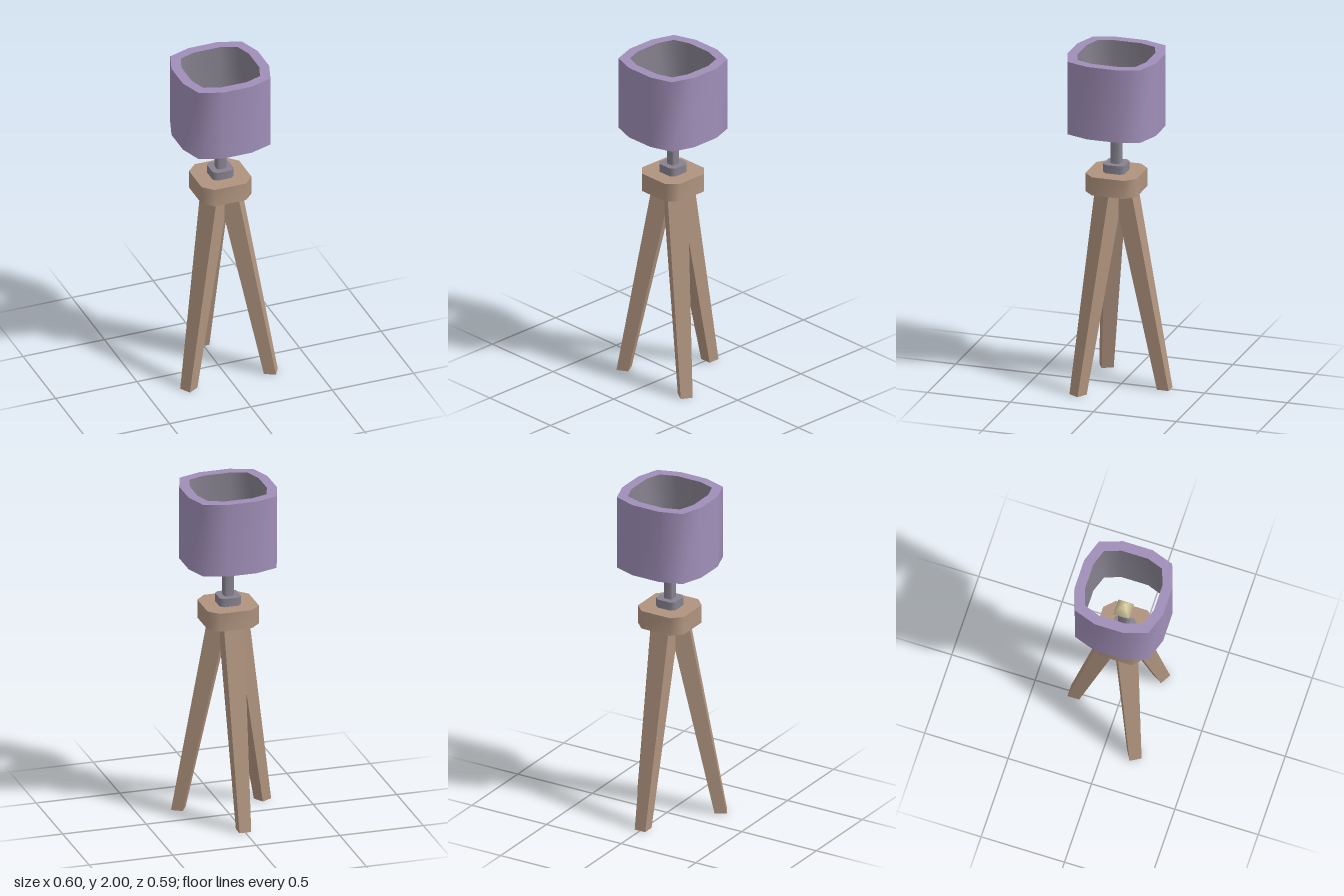
import * as THREE from 'three';

const mat = (name, color, side = THREE.FrontSide) => {
  const m = new THREE.MeshStandardMaterial({ color, side });
  m.name = name;
  return m;
};

// Repeats one corner's points four times around the axis (counter-clockwise)
function ring(corner) {
  const pts = [];
  for (let q = 0; q < 4; q++) {
    for (const [x, y] of corner) {
      pts.push(new THREE.Vector2(x, y).rotateAround(new THREE.Vector2(), q * Math.PI / 2));
    }
  }
  return pts;
}

// Smooth vertical wall through a ring of points, facing out or in
function wall(pts, y0, y1, inward = false) {
  const pos = [], index = [], n = pts.length;
  pts.forEach((p, i) => {
    pos.push(p.x, y0, -p.y, p.x, y1, -p.y);
    const a = 2 * i, b = 2 * ((i + 1) % n);
    if (inward) index.push(a, b + 1, b, a, a + 1, b + 1);
    else index.push(a, b, b + 1, a, b + 1, a + 1);
  });
  const g = new THREE.BufferGeometry();
  g.setAttribute('position', new THREE.Float32BufferAttribute(pos, 3));
  g.setIndex(index);
  g.computeVertexNormals();
  return g;
}

// Flat horizontal face, optionally with a hole, facing up or down
function cap(pts, y, up, hole) {
  const shape = new THREE.Shape(pts);
  if (hole) shape.holes.push(new THREE.Path(hole));
  const g = new THREE.ShapeGeometry(shape);
  return g.rotateX(up ? -Math.PI / 2 : Math.PI / 2).translate(0, y, 0);
}

export function createModel() {
  const wood = mat('wood', 0xb0947f);
  const metal = mat('grey metal', 0x87828f);
  const fabric = mat('purple fabric', 0xa08fb8);
  const glow = mat('bulb cream', 0xd6cb9e);

  const model = new THREE.Group();
  const lamp = new THREE.Group();
  lamp.name = 'tripodLamp';
  lamp.position.z = 0.031;
  model.add(lamp);

  const add = (name, geometry, material, parent = lamp) => {
    const mesh = new THREE.Mesh(geometry, material);
    mesh.name = name;
    parent.add(mesh);
    return mesh;
  };

  // Solid chamfered block
  const block = (name, half, inner, y0, y1, material) => {
    const g = new THREE.Group();
    g.name = name;
    lamp.add(g);
    const pts = ring([[half, inner], [inner, half]]);
    add(name + 'Side', wall(pts, y0, y1), material, g);
    add(name + 'Top', cap(pts, y1, true), material, g);
    add(name + 'Bottom', cap(pts, y0, false), material, g);
  };

  // Three tapered legs splaying out from under the hub
  const legGeo = new THREE.BoxGeometry(2, 1, 1);
  const p = legGeo.attributes.position;
  for (let i = 0; i < p.count; i++) {
    const top = p.getY(i) > 0, outer = p.getZ(i) > 0;
    const r = top ? (outer ? 0.112 : 0) : (outer ? 0.326 : 0.256);
    p.setXYZ(i, p.getX(i) * (top ? 0.06 : 0.035), top ? 1.182 : 0, r);
  }
  legGeo.computeVertexNormals();
  for (let i = 0; i < 3; i++) {
    add('leg' + (i + 1), legGeo, wood).rotation.y = Math.PI + i * Math.PI * 2 / 3;
  }

  // Hub, collar and post
  block('hub', 0.154, 0.096, 1.18, 1.29, wood);
  block('collar', 0.065, 0.043, 1.29, 1.34, metal);
  block('post', 0.029, 0.019, 1.34, 1.575, metal);

  // Four-sided bulb
  const profile = [[0, 1.56], [0.03, 1.565], [0.066, 1.635], [0.033, 1.695], [0, 1.71]]
    .map(([x, y]) => new THREE.Vector2(x, y));
  add('bulb', new THREE.LatheGeometry(profile, 4, Math.PI / 4), glow);

  // Open shade with thick walls and a grey lining
  const outer = ring([[0.265, 0.088], [0.22, 0.22], [0.088, 0.265]]);
  const inner = ring([[0.207, 0.08], [0.174, 0.174], [0.08, 0.207]]);
  const shade = new THREE.Group();
  shade.name = 'shade';
  lamp.add(shade);
  add('shadeOuter', wall(outer, 1.56, 2), fabric, shade);
  add('shadeLining', wall(inner, 1.56, 2, true), metal, shade);
  add('shadeTopRim', cap(outer, 2, true, inner), fabric, shade);
  add('shadeBottomRim', cap(outer, 1.56, false, inner), fabric, shade);

  return model;
}
